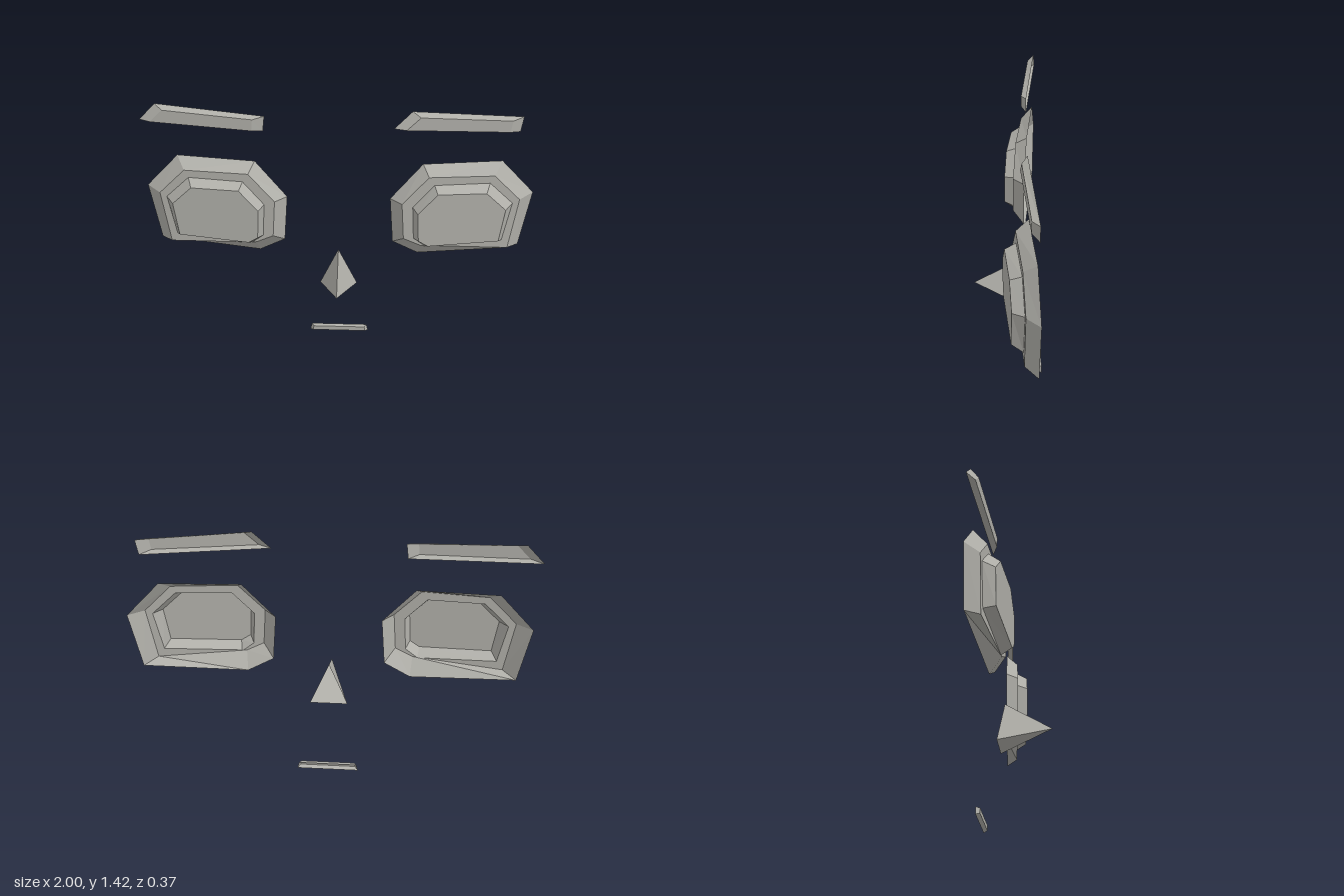
import * as THREE from 'three';

// Flat-shaded mesh from a list of triangle corner points
function facetMesh(name, corners, material) {
  const geo = new THREE.BufferGeometry().setFromPoints(corners);
  geo.computeVertexNormals();
  const mesh = new THREE.Mesh(geo, material);
  mesh.name = name;
  return mesh;
}

// Lift a counter-clockwise outline onto a plane leaning back away from the centre
function ring(outline, z0, slope = 0) {
  return outline.map(([x, y]) => new THREE.Vector3(x, y, z0 - slope * Math.abs(x)));
}

// Walls joining successive rings, from back to front
function walls(rings) {
  const out = [];
  for (let r = 0; r < rings.length - 1; r++) {
    const a = rings[r], b = rings[r + 1];
    for (let i = 0; i < a.length; i++) {
      const j = (i + 1) % a.length;
      out.push(a[i], a[j], b[j], a[i], b[j], b[i]);
    }
  }
  return out;
}

// Flat face filling a convex ring
function cap(r) {
  const out = [];
  for (let i = 1; i < r.length - 1; i++) out.push(r[0], r[i], r[i + 1]);
  return out;
}

const mirror = (outline) => outline.map(([x, y]) => [-x, y]).reverse();

export function createModel() {
  const model = new THREE.Group();
  model.name = 'face';
  const grey = new THREE.MeshStandardMaterial({ color: 0xb0afa9, side: THREE.DoubleSide });
  grey.name = 'warm grey';

  // Eyes: stepped shells, open at the back
  const eyeOuter = [[0.825, 1.145], [0.425, 1.135], [0.265, 0.94], [0.285, 0.68], [0.42, 0.605], [0.955, 0.645], [1, 0.96]];
  const eyeLedge = [[0.785, 1.09], [0.455, 1.09], [0.325, 0.94], [0.34, 0.735], [0.43, 0.69], [0.89, 0.66], [0.925, 0.95]];
  const eyeInner = [[0.765, 1.05], [0.485, 1.045], [0.38, 0.92], [0.392, 0.735], [0.455, 0.685], [0.855, 0.71], [0.89, 0.93]];
  const eyeFront = [[0.745, 1.02], [0.5, 1.02], [0.405, 0.91], [0.415, 0.75], [0.465, 0.717], [0.83, 0.735], [0.85, 0.92]];
  for (const side of ['left', 'right']) {
    const f = side === 'left' ? (o) => o : mirror;
    const rings = [
      ring(f(eyeOuter), -0.062, 0.085),
      ring(f(eyeLedge), 0.005, 0.095),
      ring(f(eyeInner), 0.005, 0.095),
      ring(f(eyeFront), 0.062, 0.1),
    ];
    const eye = new THREE.Group();
    eye.name = side + 'Eye';
    eye.add(facetMesh(side + 'EyeFrame', walls(rings), grey));
    eye.add(facetMesh(side + 'EyeFace', cap(rings[3]), grey));
    model.add(eye);
  }

  // Eyebrows: the same slanted bar on both sides, not mirrored
  const browBack = [[0.907, 1.385], [0.36, 1.423], [0.272, 1.333], [0.897, 1.305]];
  const browFront = [[0.85, 1.376], [0.4, 1.402], [0.333, 1.336], [0.843, 1.316]];
  for (const [side, dx] of [['left', 0], ['right', -1.272]]) {
    const shift = (o) => o.map(([x, y]) => [x + dx, y]);
    const rings = [ring(shift(browBack), -0.06, 0.085), ring(shift(browFront), -0.03, 0.085)];
    model.add(facetMesh(side + 'Eyebrow', [...walls(rings), ...cap(rings[1])], grey));
  }

  // Nose: three faces meeting at the tip, open at the back
  const noseBack = [[0, 0.635, -0.065], [-0.1, 0.4, -0.095], [0.1, 0.4, -0.095]].map((p) => new THREE.Vector3(...p));
  const tip = new THREE.Vector3(0, 0.49, 0.18);
  model.add(facetMesh('nose', noseBack.flatMap((p, i) => [p, noseBack[(i + 1) % 3], tip]), grey));

  // Mouth: thin bevelled bar, open at the back
  const mouthBack = [[0.157, 0.04], [-0.157, 0.04], [-0.167, 0], [0.167, 0]];
  const mouthFront = [[0.145, 0.036], [-0.145, 0.036], [-0.15, 0.009], [0.15, 0.009]];
  const mouth = [ring(mouthBack, -0.185), ring(mouthFront, -0.165)];
  model.add(facetMesh('mouth', [...walls(mouth), ...cap(mouth[1])], grey));

  return model;
}
